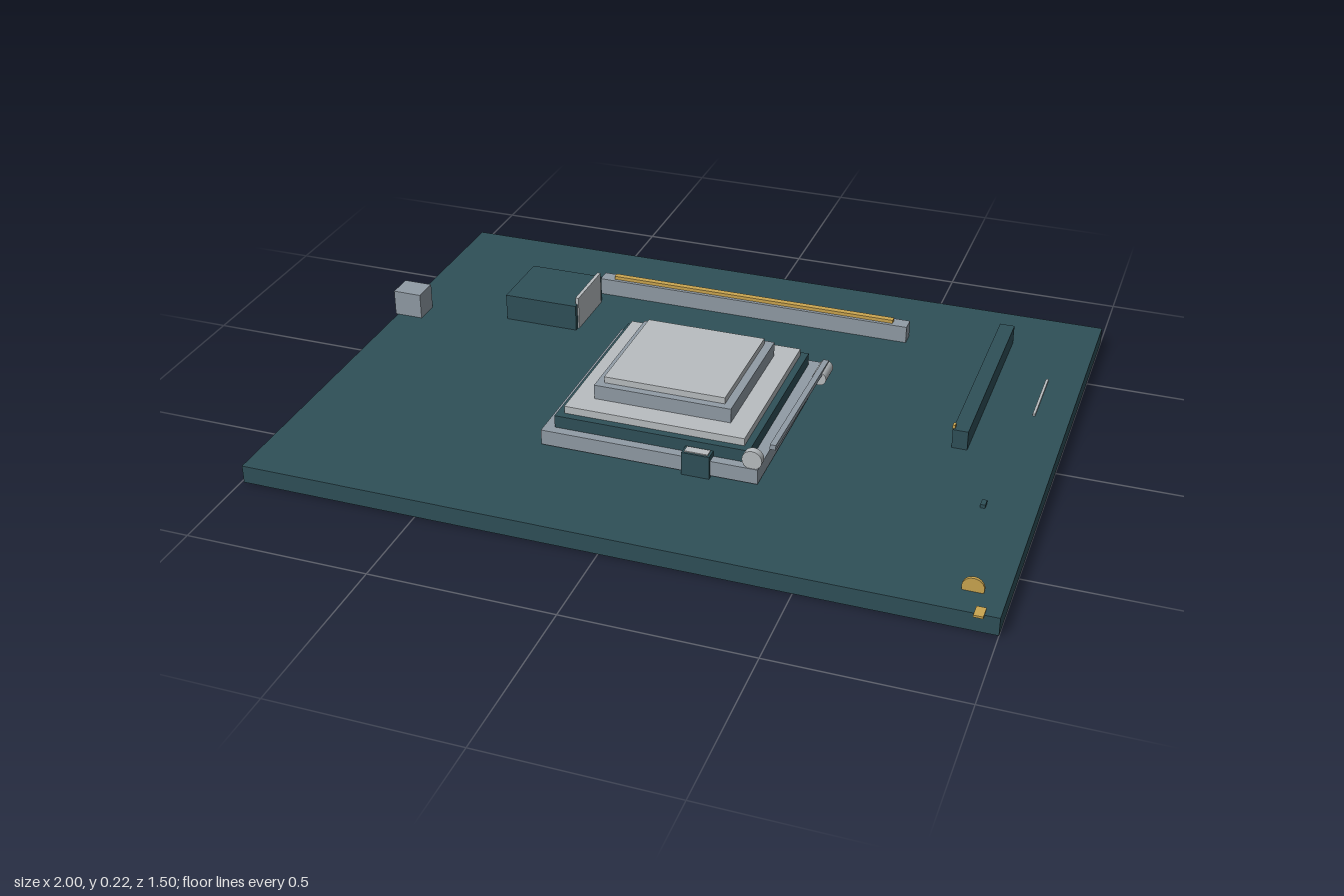
import * as THREE from 'three';

const mat = (name, color) => {
  const m = new THREE.MeshStandardMaterial({ color });
  m.name = name;
  return m;
};

export function createModel() {
  const model = new THREE.Group();
  model.name = 'circuitBoard';
  const teal = mat('dark teal', 0x2f5058);
  const steel = mat('steel grey', 0x919ca6);
  const silver = mat('pale silver', 0xb9bec1);
  const gold = mat('gold', 0xcba650);

  const add = (name, geometry, material) => {
    const mesh = new THREE.Mesh(geometry, material);
    mesh.name = name;
    model.add(mesh);
    return mesh;
  };
  // Box given by its limits on each axis
  const box = (name, material, [x0, x1], [y0, y1], [z0, z1]) => {
    const mesh = add(name, new THREE.BoxGeometry(x1 - x0, y1 - y0, z1 - z0), material);
    mesh.position.set((x0 + x1) / 2, (y0 + y1) / 2, (z0 + z1) / 2);
    return mesh;
  };
  // Cylinder lying along z
  const roller = (name, material, r, x, y, [z0, z1]) => {
    const g = new THREE.CylinderGeometry(r, r, z1 - z0, 20).rotateX(Math.PI / 2);
    add(name, g, material).position.set(x, y, (z0 + z1) / 2);
  };

  box('board', teal, [-0.993, 1], [0, 0.05], [-0.752, 0.738]);

  // Processor stack, from socket to top plate
  box('socketFrame', steel, [-0.296, 0.302], [0.057, 0.1], [-0.2, 0.392]);
  box('chipSubstrate', teal, [-0.267, 0.27], [0.1, 0.135], [-0.176, 0.366]);
  box('heatSpreader', silver, [-0.247, 0.251], [0.135, 0.156], [-0.157, 0.345]);
  box('upperStep', steel, [-0.187, 0.193], [0.156, 0.197], [-0.098, 0.282]);
  box('topPlate', silver, [-0.166, 0.17], [0.197, 0.215], [-0.078, 0.261]);

  // Socket lever, its pivots and the front latch
  const lever = box('lever', steel, [0.314, 0.33], [0.121, 0.135], [-0.17, 0.33]);
  lever.rotation.x = -0.03;
  roller('leverPivot', silver, 0.02, 0.322, 0.105, [-0.173, -0.1]);
  roller('leverKnob', silver, 0.027, 0.285, 0.124, [0.37, 0.39]);
  box('latch', teal, [0.098, 0.174], [0.05, 0.116], [0.364, 0.4]);
  box('latchCap', silver, [0.104, 0.168], [0.116, 0.119], [0.37, 0.394]);

  // Long card slot with its gold contact strip
  box('cardSlot', steel, [-0.472, 0.476], [0.05, 0.1], [-0.52, -0.478]);
  box('slotContacts', gold, [-0.43, 0.432], [0.1, 0.11], [-0.506, -0.488]);

  // Chip block with an upright fin
  box('chipBlock', teal, [-0.674, -0.454], [0.05, 0.128], [-0.44, -0.235]);
  box('chipFin', silver, [-0.46, -0.45], [0.05, 0.148], [-0.424, -0.25]);

  // Port on the left edge
  box('edgePort', steel, [-1, -0.916], [0.05, 0.125], [-0.23, -0.155]);

  // Side slot with a small contact on its end
  box('sideSlot', teal, [0.728, 0.77], [0.05, 0.105], [-0.58, 0.042]);
  box('sideSlotContact', gold, [0.726, 0.733], [0.1, 0.115], [0.022, 0.036]);

  // Small surface parts
  box('traceStrip', silver, [0.9, 0.907], [0.05, 0.056], [-0.392, -0.19]);
  box('smallComponent', teal, [0.859, 0.872], [0.05, 0.06], [0.275, 0.3]);
  roller('coin', gold, 0.028, 0.917, 0.06, [0.648, 0.656]);
  box('edgePad', gold, [0.938, 0.962], [0.047, 0.053], [0.712, 0.75]);

  return model;
}
